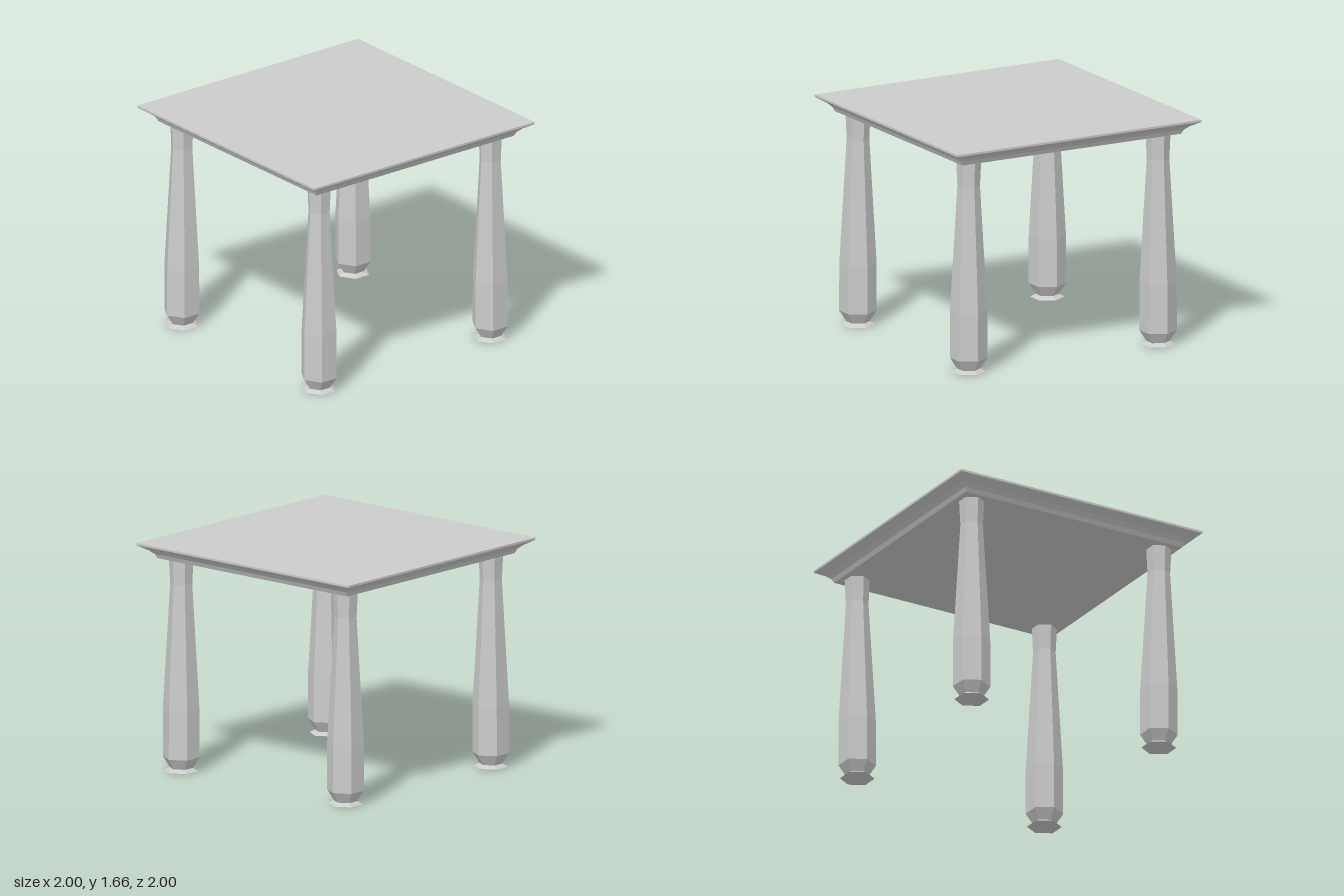
import * as THREE from 'three';

const material = new THREE.MeshStandardMaterial({ color: 0xcccccc, flatShading: true });

// Faceted solid of revolution from [radius, height] pairs, listed bottom to top
function faceted(profile, sides, scale = 1) {
  const points = profile.map(([r, y]) => new THREE.Vector2(r * scale, y));
  const geometry = new THREE.LatheGeometry(points, sides).toNonIndexed();
  geometry.computeVertexNormals();
  return geometry;
}

export function createModel() {
  const table = new THREE.Group();
  table.name = 'table';

  // Square top with a coved moulding underneath: half-widths become corner radii
  const topGeometry = faceted([
    [0, 1.545], [0.895, 1.545], [0.91, 1.577], [0.94, 1.604],
    [0.997, 1.638], [1, 1.642], [1, 1.657], [0, 1.657],
  ], 4, Math.SQRT2);
  topGeometry.rotateY(Math.PI / 4);
  const top = new THREE.Mesh(topGeometry, material);
  top.name = 'tableTop';
  table.add(top);

  // Six-sided legs: flared foot, pinched ankle, thick shaft tapering to a neck
  const legGeometry = faceted([
    [0, 0], [0.123, 0], [0.083, 0.022], [0.133, 0.1],
    [0.132, 0.45], [0.08, 1.36], [0.089, 1.546],
  ], 6);
  for (const [x, xName] of [[1, 'Left'], [-1, 'Right']]) {
    for (const [z, zName] of [[1, 'front'], [-1, 'back']]) {
      const leg = new THREE.Mesh(legGeometry, material);
      leg.name = `${zName}${xName}Leg`;
      leg.position.set(0.776 * x, 0, 0.776 * z);
      table.add(leg);
    }
  }

  return table;
}
